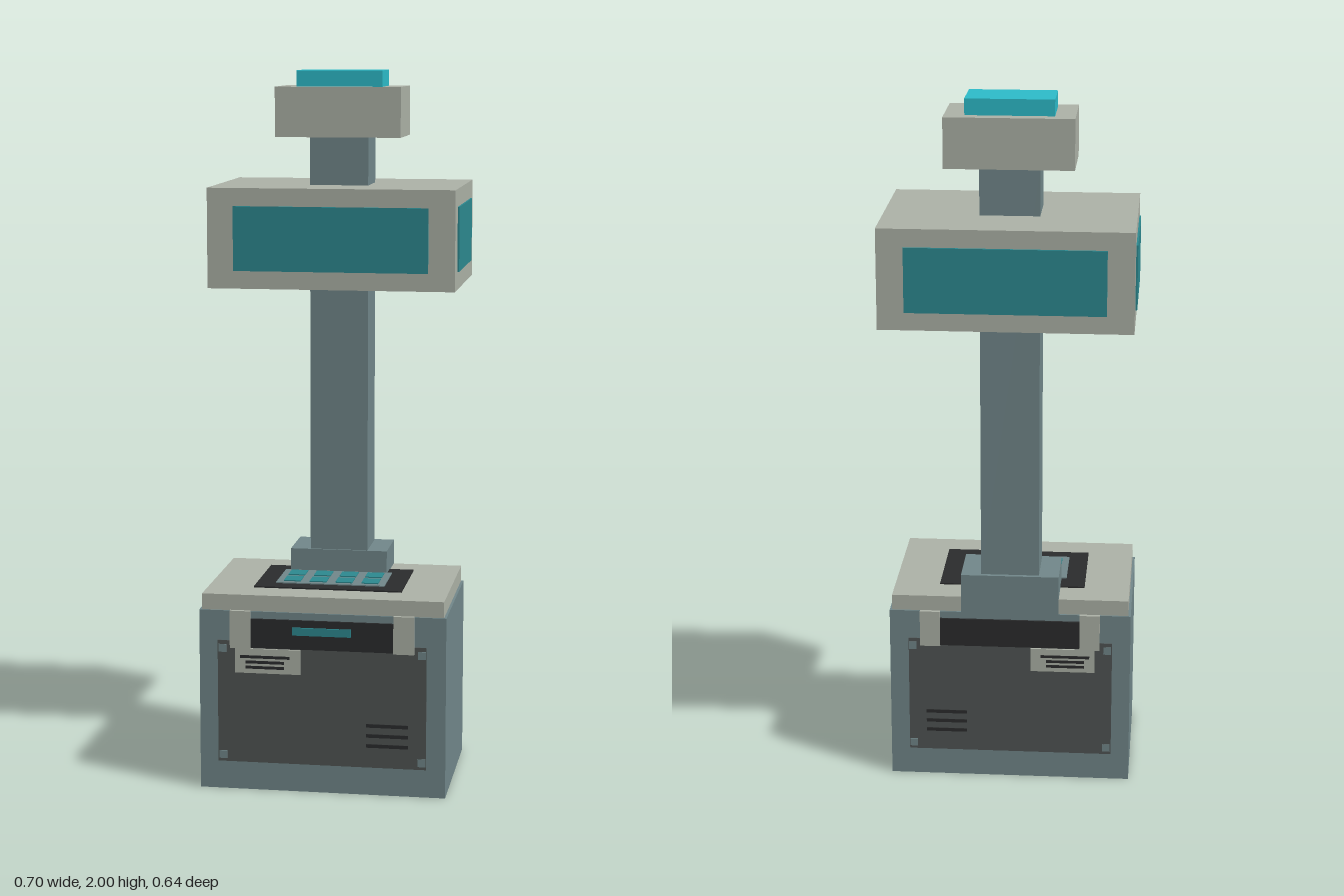
import * as THREE from 'three';

const mat = (name, color) => {
  const m = new THREE.MeshStandardMaterial({ color });
  m.name = name;
  return m;
};

export function createModel() {
  const slate = mat('slate', 0x72888b);
  const beige = mat('beige', 0xaeb3a8);
  const grey = mat('darkGrey', 0x505554);
  const black = mat('black', 0x2b2c2d);
  const teal = mat('screenTeal', 0x2d8a91);
  const cyan = mat('lampCyan', 0x2dbdcb);

  const model = new THREE.Group();
  model.name = 'scannerKiosk';

  // Box given by its lower and upper limits on each axis
  const box = (name, material, [x0, x1], [y0, y1], [z0, z1], parent = model) => {
    const mesh = new THREE.Mesh(new THREE.BoxGeometry(x1 - x0, y1 - y0, z1 - z0), material);
    mesh.position.set((x0 + x1) / 2, (y0 + y1) / 2, (z0 + z1) / 2);
    mesh.name = name;
    parent.add(mesh);
    return mesh;
  };

  // Cabinet and lid
  const FRONT = 0.307, BACK = -0.155;
  box('cabinet', slate, [-0.347, 0.347], [0, 0.515], [BACK, FRONT]);
  box('lid', beige, [-0.34, 0.34], [0.515, 0.56], [-0.15, 0.302]);

  // Control pad on the lid, with rows of keys
  box('controlPad', black, [-0.21, 0.21], [0.56, 0.564], [-0.06, 0.21]);
  box('keyPlate', slate, [-0.155, 0.155], [0.564, 0.567], [0, 0.165]);
  for (let i = 0; i < 4; i++) {
    const x = -0.111 + i * 0.074;
    for (const z of [0.045, 0.12]) {
      box('key', teal, [x - 0.024, x + 0.024], [0.567, 0.57], [z - 0.028, z + 0.028]);
    }
  }

  // Column, its collar, and the cap with a lamp
  box('collar', slate, [-0.14, 0.14], [0.505, 0.63], [-0.157, 0.003]);
  box('column', slate, [-0.083, 0.083], [0.63, 1.82], [-0.145, -0.003]);
  box('cap', beige, [-0.178, 0.178], [1.815, 1.955], [-0.183, 0.025]);
  box('lamp', cyan, [-0.122, 0.122], [1.955, 2], [-0.148, -0.01]);

  // Display head with a screen on each of four sides
  box('head', beige, [-0.347, 0.347], [1.4, 1.68], [-0.315, 0.157]);
  box('frontScreen', teal, [-0.273, 0.273], [1.45, 1.63], [0.156, 0.163]);
  box('backScreen', teal, [-0.273, 0.273], [1.45, 1.63], [-0.321, -0.314]);
  box('leftScreen', teal, [0.346, 0.352], [1.45, 1.63], [-0.252, 0.095]);
  box('rightScreen', teal, [-0.352, -0.346], [1.45, 1.63], [-0.252, 0.095]);

  // Service panels on front and back, mirrored in depth
  for (const s of [1, -1]) {
    const group = new THREE.Group();
    group.name = s > 0 ? 'frontPanel' : 'backPanel';
    model.add(group);
    const face = s > 0 ? FRONT : BACK;
    const plate = (name, material, xs, ys, from, to) => {
      const z = [face + s * from, face + s * to].sort((a, b) => a - b);
      box(name, material, xs, ys, z, group);
    };
    plate('panel', grey, [-0.295, 0.293], [0.08, 0.43], -0.001, 0.003);
    plate('slot', black, [-0.205, 0.205], [0.412, 0.495], -0.001, 0.006);
    if (s > 0) plate('slotLight', teal, [-0.082, 0.082], [0.453, 0.475], 0.005, 0.011);
    for (const x of [-0.23, 0.23]) {
      plate('bracket', beige, [x - 0.029, x + 0.029], [0.41, 0.517], -0.001, 0.01);
    }
    // Label with printed bars
    plate('label', beige, [-0.245, -0.06], [0.34, 0.41], 0.002, 0.009);
    [[0.387, 0.07], [0.372, 0.055], [0.357, 0.055]].forEach(([y, w]) =>
      plate('labelBar', black, [-0.16 - w, -0.16 + w], [y - 0.004, y + 0.004], 0.008, 0.0105));
    // Vent slits
    for (const y of [0.143, 0.172, 0.201]) {
      plate('vent', black, [0.125, 0.243], [y - 0.005, y + 0.005], 0.002, 0.005);
    }
    // Corner screws
    for (const x of [-0.281, 0.281]) {
      for (const y of [0.1, 0.408]) {
        plate('screw', slate, [x - 0.011, x + 0.011], [y - 0.011, y + 0.011], 0.002, 0.006);
      }
    }
  }
  return model;
}
